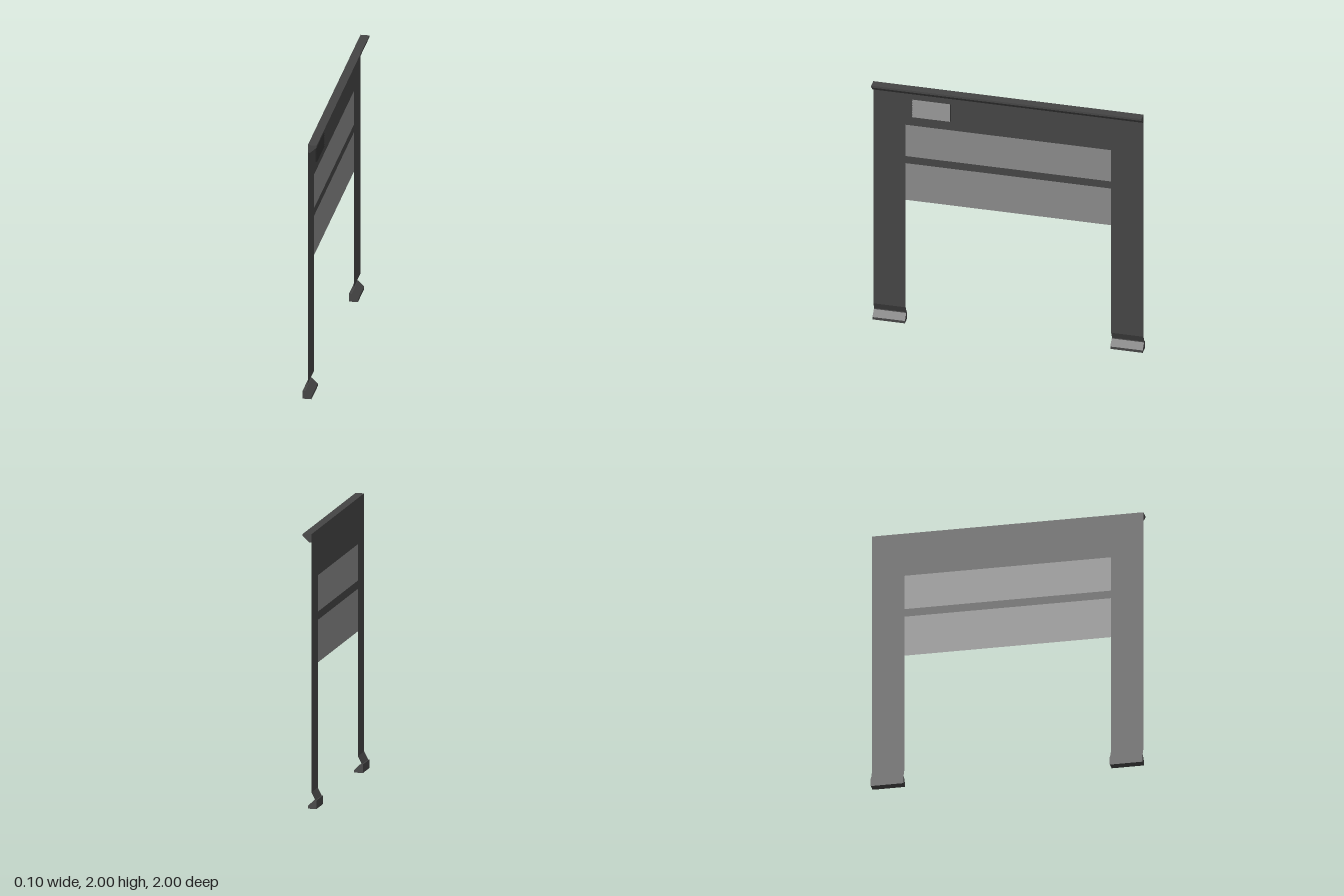
import * as THREE from 'three';

const PANEL_X = -0.015; // plane of the thin sheet
const HALF = 1;         // half length along z
const INNER = 0.76;     // inner edge of the legs

const material = (color, side = THREE.FrontSide) =>
  new THREE.MeshStandardMaterial({ color, side, flatShading: true });

function add(parent, name, geometry, mat) {
  const mesh = new THREE.Mesh(geometry, mat);
  mesh.name = name;
  parent.add(mesh);
  return mesh;
}

// Extrude an (x, y) profile along z, from z0 to z1
function prism(points, z0, z1) {
  const shape = new THREE.Shape(points.map(([x, y]) => new THREE.Vector2(x, y)));
  const g = new THREE.ExtrudeGeometry(shape, { depth: z1 - z0, bevelEnabled: false });
  return g.translate(0, 0, z0);
}

// Upright rectangle facing +x; its lower edge can be pushed to another x
function sheet(z0, z1, y0, y1, bottomX = PANEL_X) {
  const g = new THREE.PlaneGeometry(z1 - z0, y1 - y0);
  g.rotateY(Math.PI / 2).translate(PANEL_X, (y0 + y1) / 2, (z0 + z1) / 2);
  const p = g.attributes.position;
  for (let i = 0; i < p.count; i++) if (p.getY(i) < (y0 + y1) / 2) p.setX(i, bottomX);
  g.computeVertexNormals();
  return g;
}

export function createModel() {
  const model = new THREE.Group();
  model.name = 'panelFrame';
  const dark = material(0x444444);
  const darkSheet = material(0x444444, THREE.DoubleSide);
  const glass = material(0x888888, THREE.DoubleSide);
  const black = material(0x222222);

  // Upper panel, crossbar and the two window panes
  add(model, 'upperPanel', sheet(-HALF, HALF, 1.665, 2), darkSheet);
  add(model, 'crossbar', sheet(-INNER, INNER, 1.34, 1.4), darkSheet);
  add(model, 'upperWindow', sheet(-INNER, INNER, 1.4, 1.665), glass);
  add(model, 'lowerWindow', sheet(-INNER, INNER, 1.03, 1.34), glass);

  // Overhanging top rail with a sloped underside
  add(model, 'topRail', prism([
    [PANEL_X, 2], [PANEL_X, 1.94], [0.002, 1.94], [0.05, 1.985], [0.05, 2],
  ], -HALF, HALF), dark);

  // Legs, each with a bent lower end and a wedge foot
  for (const [name, z0, z1] of [['front', INNER, HALF], ['back', -HALF, -INNER]]) {
    const leg = new THREE.Group();
    leg.name = name + 'Leg';
    add(leg, 'legPanel', sheet(z0, z1, 0.12, 1.665), darkSheet);
    add(leg, 'legBend', sheet(z0, z1, 0.06, 0.12, -0.045), darkSheet);
    add(leg, 'foot', prism([
      [-0.053, 0], [0.012, 0], [0.012, 0.02], [-0.032, 0.062], [-0.053, 0.062],
    ], z0, z1), dark);
    model.add(leg);
  }

  // Ventilation grille: a stack of downward-tilted slats
  const slats = 10, top = 1.885, step = 0.0145;
  const vent = [[PANEL_X + 0.001, top]];
  for (let i = 0; i < slats; i++) {
    const y = top - (i + 1) * step;
    vent.push([PANEL_X + 0.012, y + 0.003], [PANEL_X + 0.003, y]);
  }
  vent.push([PANEL_X + 0.001, top - slats * step]);
  add(model, 'ventGrille', prism(vent, 0.43, 0.71), black);

  return model;
}
